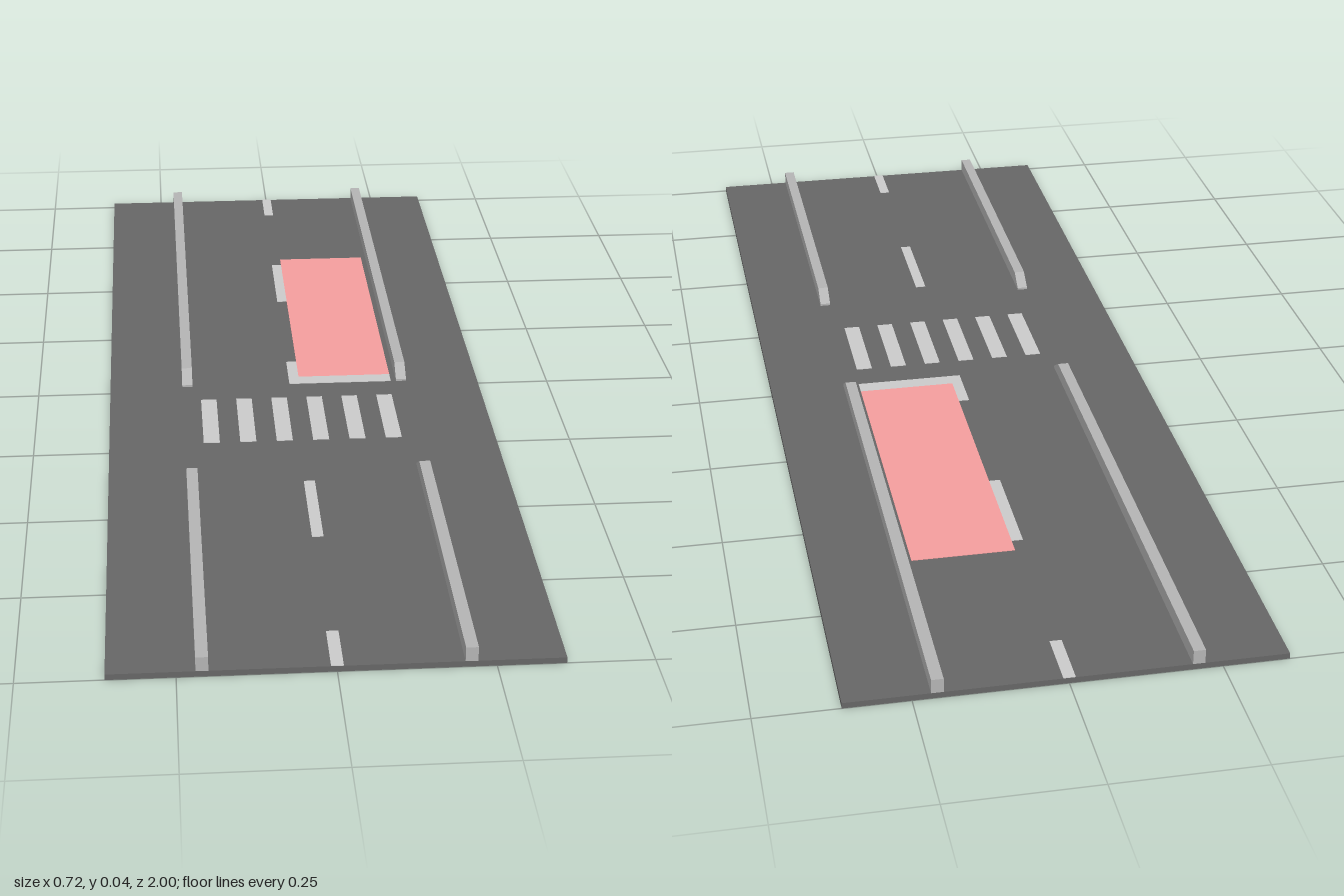
import * as THREE from 'three';

const ROAD_TOP = 0.01;
const asphalt = new THREE.MeshStandardMaterial({ color: 0x666666 });
const paint = new THREE.MeshStandardMaterial({ color: 0xcccccc });
const concrete = new THREE.MeshStandardMaterial({ color: 0xb4b4b4 });
const red = new THREE.MeshStandardMaterial({ color: 0xf59e9e });

// Box given by its extents
function slab(name, material, x0, x1, y0, y1, z0, z1) {
  const mesh = new THREE.Mesh(new THREE.BoxGeometry(x1 - x0, y1 - y0, z1 - z0), material);
  mesh.position.set((x0 + x1) / 2, (y0 + y1) / 2, (z0 + z1) / 2);
  mesh.name = name;
  return mesh;
}

// Thin painted marking lying on the road
function marking(name, material, x0, x1, z0, z1) {
  return slab(name, material, x0, x1, ROAD_TOP, ROAD_TOP + 0.001, z0, z1);
}

// Kerb with a sloped end facing the crossing; zRamp is the low end
function kerb(name, x, zRamp, zEnd) {
  const top = 0.035, low = 0.014, width = 0.02;
  const zTop = zRamp + Math.sign(zEnd - zRamp) * 0.033;
  const shape = new THREE.Shape([
    [zRamp, ROAD_TOP], [zEnd, ROAD_TOP], [zEnd, top], [zTop, top], [zRamp, low],
  ].map(([z, y]) => new THREE.Vector2(-z, y)));
  const geometry = new THREE.ExtrudeGeometry(shape, { depth: width, bevelEnabled: false });
  geometry.rotateY(Math.PI / 2);
  geometry.translate(x - width / 2, 0, 0);
  const mesh = new THREE.Mesh(geometry, concrete);
  mesh.name = name;
  return mesh;
}

export function createModel() {
  const model = new THREE.Group();
  model.name = 'roadCrossing';

  // Road bed
  model.add(slab('roadBed', asphalt, -0.36, 0.36, 0, ROAD_TOP, -1, 1));

  // Kerbs on both sides, interrupted at the crossing
  for (const [side, x] of [['left', 0.21], ['right', -0.21]]) {
    model.add(kerb(side + 'BackKerb', x, 0, -1));
    model.add(kerb(side + 'FrontKerb', x, 0.35, 1));
  }

  // Centre line dashes
  const dashes = new THREE.Group();
  dashes.name = 'centreLine';
  for (const [z0, z1] of [[-1, -0.9], [-0.6, -0.4], [-0.1, 0], [0.4, 0.6], [0.9, 1]]) {
    dashes.add(marking('dash', paint, -0.01, 0.01, z0, z1));
  }
  model.add(dashes);

  // Pedestrian crossing stripes
  const crossing = new THREE.Group();
  crossing.name = 'crossingStripes';
  for (let i = 0; i < 6; i++) {
    const x = -0.17 + i * 0.068;
    crossing.add(marking('stripe', paint, x - 0.015, x + 0.015, 0.06, 0.24));
  }
  model.add(crossing);

  // Stop line and the red waiting area behind it
  model.add(marking('stopLine', paint, 0.01, 0.19, -0.03, 0));
  model.add(marking('redLaneArea', red, 0.01, 0.19, -0.63, -0.03));

  return model;
}
